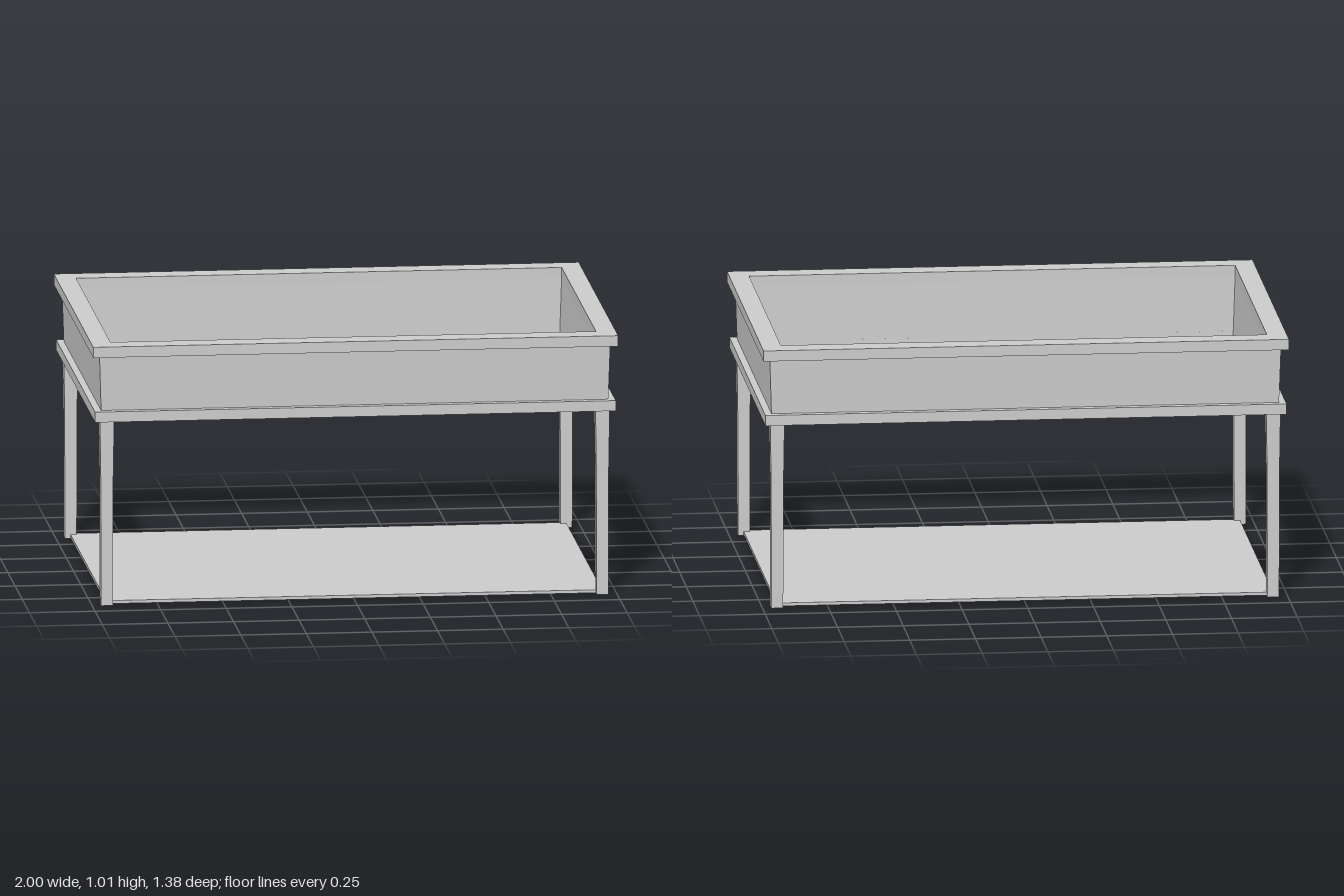
import * as THREE from 'three';

const material = new THREE.MeshStandardMaterial({ color: 0xcccccc, flatShading: true });

// Rectangular ring: a closed profile of [halfX, y, halfZ] swept round four mitred corners
function frameGeometry(profile) {
  const corners = [[-1, 1], [1, 1], [1, -1], [-1, -1]];
  const pos = [];
  const point = (i, k) => {
    const [x, y, z] = profile[i % profile.length];
    const [sx, sz] = corners[k % 4];
    return [x * sx, y, z * sz];
  };
  for (let i = 0; i < profile.length; i++) {
    for (let k = 0; k < 4; k++) {
      const a = point(i, k), b = point(i, k + 1), c = point(i + 1, k + 1), d = point(i + 1, k);
      pos.push(...a, ...b, ...c, ...a, ...c, ...d);
    }
  }
  const g = new THREE.BufferGeometry();
  g.setAttribute('position', new THREE.Float32BufferAttribute(pos, 3));
  g.computeVertexNormals();
  return g;
}

// Square leg that flares slightly above the middle
function legGeometry(height) {
  const g = new THREE.BoxGeometry(0.045, height, 0.045, 1, 3, 1);
  g.translate(0, height / 2, 0);
  const p = g.attributes.position;
  for (let i = 0; i < p.count; i++) {
    const t = p.getY(i) / height;
    const s = 1 + 0.04 * Math.min(t * 1.5, 1) + 0.16 * Math.max(0, (t - 0.66) / 0.34);
    p.setX(i, p.getX(i) * s);
    p.setZ(i, p.getZ(i) * s);
  }
  g.computeVertexNormals();
  return g;
}

export function createModel() {
  const model = new THREE.Group();
  const add = (name, geometry) => {
    const mesh = new THREE.Mesh(geometry, material);
    mesh.name = name;
    model.add(mesh);
    return mesh;
  };

  // Open top rim
  add('topRim', frameGeometry([
    [1, 0.967, 0.688], [1, 1.008, 0.688], [0.925, 1.008, 0.598], [0.925, 0.967, 0.598],
  ]));

  // Apron walls, leaning slightly outwards
  add('apron', frameGeometry([
    [0.966, 0.754, 0.649], [0.973, 0.968, 0.657], [0.925, 0.968, 0.598], [0.917, 0.754, 0.59],
  ]));

  // Lower moulding
  add('lowerMoulding', frameGeometry([
    [0.992, 0.715, 0.678], [0.992, 0.755, 0.678], [0.917, 0.755, 0.59], [0.915, 0.715, 0.588],
  ]));

  // Legs
  const leg = legGeometry(0.717);
  for (const sx of [-1, 1]) {
    for (const sz of [-1, 1]) {
      const name = (sz > 0 ? 'front' : 'back') + (sx > 0 ? 'Left' : 'Right') + 'Leg';
      add(name, leg).position.set(sx * 0.944, 0, sz * 0.629);
    }
  }

  // Thin floor panel between the legs
  add('floorPanel', new THREE.BoxGeometry(1.89, 0.012, 1.26)).position.y = 0.009;

  return model;
}
